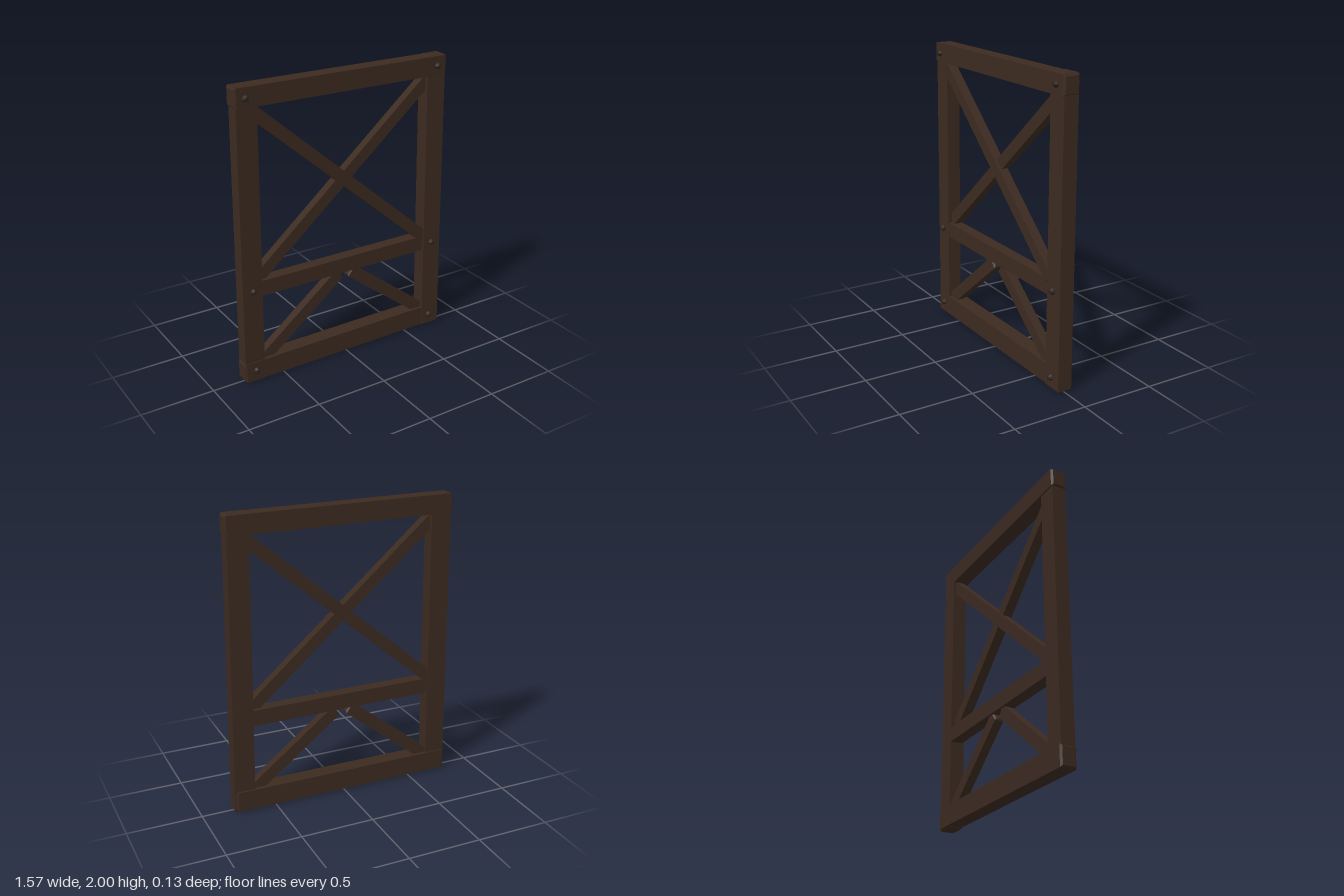
import * as THREE from 'three';

const wood = new THREE.MeshStandardMaterial({ color: 0x3b2a20 });
wood.name = 'darkWood';
const iron = new THREE.MeshStandardMaterial({ color: 0x2c221d });
iron.name = 'darkIron';

// Chamfered timber running between two points; width lies in the frame plane, depth across it
function timber(name, from, to, width, depth, chamfer = 0.01) {
  const a = new THREE.Vector3(...from);
  const b = new THREE.Vector3(...to);
  const length = a.distanceTo(b);
  const x = width / 2 - chamfer;
  const y = depth / 2 - chamfer;
  const section = new THREE.Shape([
    new THREE.Vector2(-x, -y), new THREE.Vector2(x, -y),
    new THREE.Vector2(x, y), new THREE.Vector2(-x, y),
  ]);
  const geometry = new THREE.ExtrudeGeometry(section, {
    depth: length - 2 * chamfer, bevelEnabled: true,
    bevelThickness: chamfer, bevelSize: chamfer, bevelSegments: 1,
  });
  geometry.translate(0, 0, chamfer - length / 2);

  const along = b.clone().sub(a).normalize();
  const side = new THREE.Vector3(0, 0, 1).cross(along).normalize();
  const across = along.clone().cross(side);
  const mesh = new THREE.Mesh(geometry, wood);
  mesh.name = name;
  mesh.quaternion.setFromRotationMatrix(new THREE.Matrix4().makeBasis(side, across, along));
  mesh.position.copy(a).add(b).multiplyScalar(0.5);
  return mesh;
}

export function createModel() {
  const model = new THREE.Group();
  model.name = 'timberFrame';

  // Slightly crooked outer frame
  model.add(
    timber('rightPost', [-0.712, 0.02, -0.004], [-0.697, 1.985, -0.008], 0.14, 0.094),
    timber('leftPost', [0.715, 0, 0], [0.7, 1.999, -0.014], 0.14, 0.1),
    timber('topBeam', [-0.777, 1.934, -0.009], [0.777, 1.929, -0.009], 0.128, 0.11, 0.012),
    timber('bottomBeam', [-0.787, 0.074, -0.005], [0.777, 0.08, -0.011], 0.138, 0.108, 0.012),
    timber('middleRail', [-0.68, 0.663, -0.004], [0.68, 0.659, -0.012], 0.106, 0.085),
  );

  // Crossed braces in the upper panel
  model.add(
    timber('frontCrossBrace', [-0.66, 1.843, 0.004], [0.645, 0.712, 0.006], 0.08, 0.065),
    timber('backCrossBrace', [-0.66, 0.715, -0.016], [0.66, 1.845, -0.016], 0.08, 0.06),
  );

  // Short braces in the lower panel
  model.add(
    timber('rightLowerBrace', [-0.66, 0.11, -0.006], [-0.045, 0.6, -0.006], 0.082, 0.06),
    timber('leftLowerBrace', [0.67, 0.115, -0.006], [0.045, 0.598, -0.006], 0.082, 0.06),
  );

  // Bolt heads at the joints
  const bolt = new THREE.CylinderGeometry(0.013, 0.023, 0.02, 8).toNonIndexed();
  bolt.translate(0, 0.02, 0);
  const shank = new THREE.CylinderGeometry(0.023, 0.02, 0.03, 8).toNonIndexed();
  shank.translate(0, -0.005, 0);
  for (const g of [bolt, shank]) {
    g.rotateX(Math.PI / 2);
    g.computeVertexNormals();
  }
  for (const y of [0.08, 0.66, 1.93]) {
    for (const x of [-0.705, 0.703]) {
      const head = new THREE.Group();
      head.name = 'boltHead';
      head.add(new THREE.Mesh(bolt, iron), new THREE.Mesh(shank, iron));
      head.children[0].name = 'boltCap';
      head.children[1].name = 'boltCollar';
      head.position.set(x, y, 0.04);
      model.add(head);
    }
  }
  return model;
}
